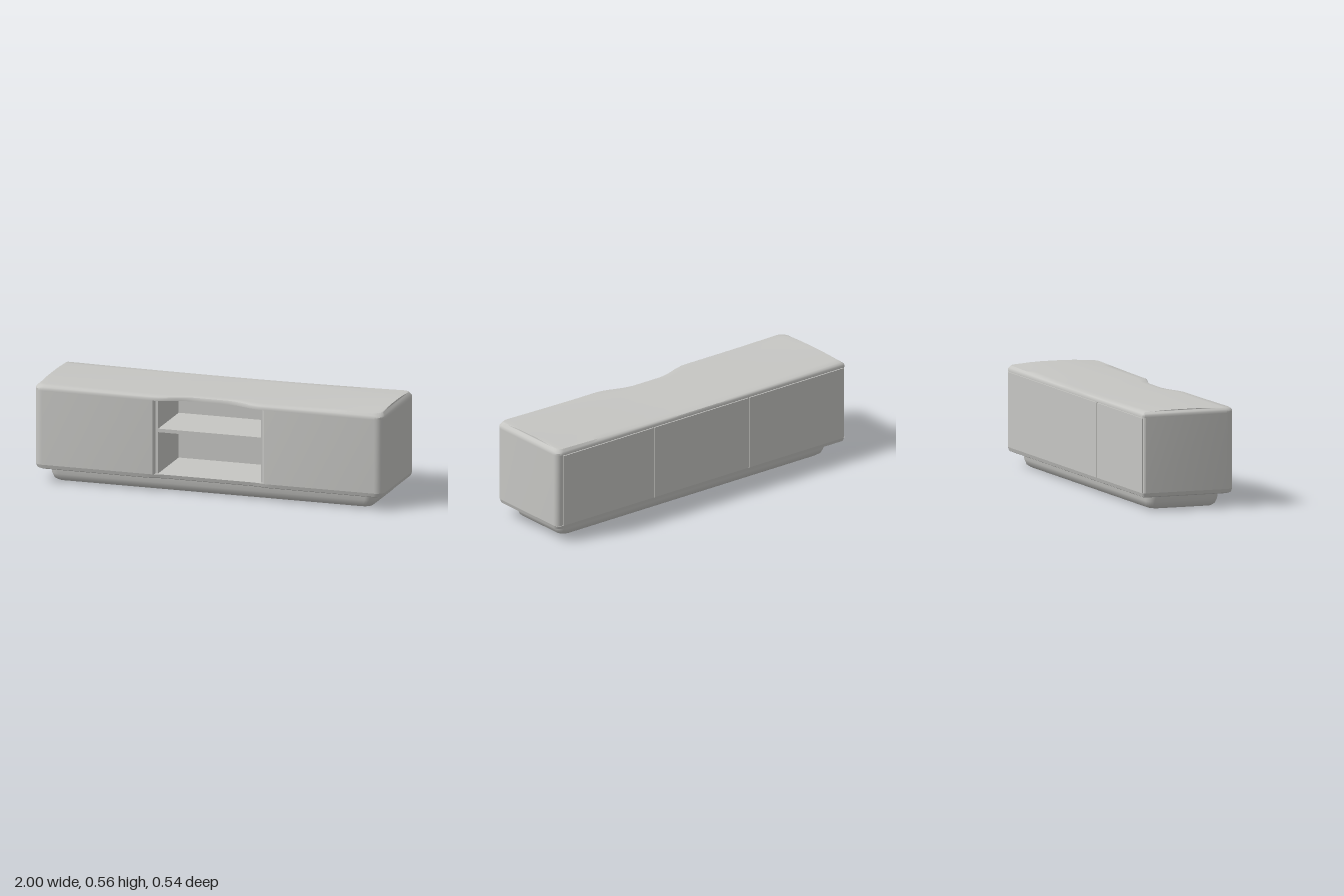
import * as THREE from 'three';
import { toCreasedNormals } from 'three/addons/utils/BufferGeometryUtils.js';

// Plan outline, running front, right, back, left. Radii: front right, back right, back left, front left.
function outline(x0, x1, z0, z1, radii, n = 1, dip = () => 0) {
  const pts = [];
  const corners = [[x1, z1, -1, -1], [x1, z0, -1, 1], [x0, z0, 1, 1], [x0, z1, 1, -1]];
  const edge = (a, b, z) => {
    for (let i = 1; i < n; i++) {
      const x = a + (b - a) * i / n;
      pts.push([x, z - (z > 0 ? dip(x) : 0)]);
    }
  };
  corners.forEach(([x, z, sx, sz], k) => {
    const r = radii[k];
    for (let i = 0; i <= 6; i++) {
      const t = (k + i / 6) * Math.PI / 2;
      pts.push([x + sx * r + r * Math.sin(t), z + sz * r + r * Math.cos(t)]);
    }
    if (k === 1) edge(x1 - r, x0 + radii[2], z0);
    if (k === 3) edge(x0 + r, x1 - radii[0], z1);
  });
  return pts;
}

// Stacks copies of the outline; each level is [height, inset, depth scale].
function loft(pts, levels, lift = () => 0) {
  const xs = pts.map(p => p[0]), zs = pts.map(p => p[1]);
  const mid = a => (Math.max(...a) + Math.min(...a)) / 2;
  const half = a => (Math.max(...a) - Math.min(...a)) / 2;
  const cx = mid(xs), cz = mid(zs), hx = half(xs), hz = half(zs);
  const pos = [], idx = [], n = pts.length;
  levels.forEach(([y, inset, s = 1], l) => {
    pts.forEach(([px, pz], i) => {
      const x = cx + (px - cx) * (1 - inset / hx);
      const z = cz + (pz - cz) * (1 - inset / hz) * s;
      pos.push(x, y + lift(x, y), z);
      if (l) {
        const j = (i + 1) % n, a = (l - 1) * n, b = l * n;
        idx.push(a + i, a + j, b + j, a + i, b + j, b + i);
      }
    });
  });
  const g = new THREE.BufferGeometry();
  g.setAttribute('position', new THREE.Float32BufferAttribute(pos, 3));
  g.setIndex(idx);
  return toCreasedNormals(g, 0.7);
}

export function createModel() {
  const model = new THREE.Group();
  model.name = 'lowCabinet';
  const grey = new THREE.MeshStandardMaterial({ color: 0xc6c6c3 });
  grey.name = 'pale grey';

  const add = (name, geometry) => {
    const mesh = new THREE.Mesh(geometry, grey);
    mesh.name = name;
    model.add(mesh);
    return mesh;
  };
  const box = (name, x0, x1, y0, y1, z0, z1) =>
    add(name, new THREE.BoxGeometry(x1 - x0, y1 - y0, z1 - z0))
      .position.set((x0 + x1) / 2, (y0 + y1) / 2, (z0 + z1) / 2);

  // Recessed plinth, tapering towards the floor
  add('plinth', loft(outline(-0.93, 0.93, -0.21, 0.215, [0.05, 0.05, 0.05, 0.05]), [
    [0, 0.03, 0], [0, 0.03], [0.012, 0.014], [0.04, 0.004], [0.08, 0], [0.08, 0, 0],
  ]));

  // Bottom board with a rounded lower edge
  const corners = [0.05, 0.04, 0.015, 0.05];
  const shallow = x => 0.015 * (1 - THREE.MathUtils.smoothstep(Math.abs(x), 0.27, 0.32));
  add('bottomBoard', loft(outline(-1, 1, -0.27, 0.27, corners, 40, shallow), [
    [0.075, 0.016, 0], [0.075, 0.016], [0.08, 0.006], [0.1, 0], [0.1, 0, 0],
  ]));

  // Crowned top board, scooped out above the open bay
  const scoop = x => 0.055 * (1 - THREE.MathUtils.smoothstep(Math.abs(x), 0.09, 0.31));
  const crown = (x, y) => Math.max(0, y - 0.535) * (x > 0 ? 0.9 : 0.5) * x * x * 4;
  add('topBoard', loft(outline(-1, 1, -0.27, 0.27, corners, 40, scoop), [
    [0.515, 0, 0], [0.515, 0], [0.527, 0], [0.535, 0.005], [0.538, 0.015],
    [0.5385, 0.016, 0.85], [0.5395, 0.016, 0.6], [0.54, 0.016, 0.3], [0.54, 0.016, 0],
  ], crown));

  // Closed cupboards either side of the bay
  const levels = [[0.1, 0, 0], [0.1, 0], [0.515, 0], [0.515, 0, 0]];
  add('leftCupboard', loft(outline(0.31, 1, -0.263, 0.27, [0.05, 0.033, 0, 0.012]), levels));
  add('rightCupboard', loft(outline(-1, -0.31, -0.263, 0.27, [0.012, 0, 0.012, 0.05]), levels));

  // Open bay: back, side linings, top rail and shelf
  box('bayBack', -0.31, 0.31, 0.09, 0.525, -0.263, -0.11);
  for (const s of [-1, 1]) box('bayLining', s * 0.305 - 0.01, s * 0.305 + 0.01, 0.09, 0.52, -0.12, 0.245);
  box('bayTopRail', -0.3, 0.3, 0.508, 0.52, -0.12, 0.2);
  box('shelf', -0.3, 0.3, 0.332, 0.352, -0.12, 0.24);

  // Back panels with narrow joints between them
  for (const [x0, x1] of [[-0.985, -0.333], [-0.327, 0.327], [0.333, 0.96]])
    box('backPanel', x0, x1, 0.1, 0.511, -0.27, -0.26);

  return model;
}
